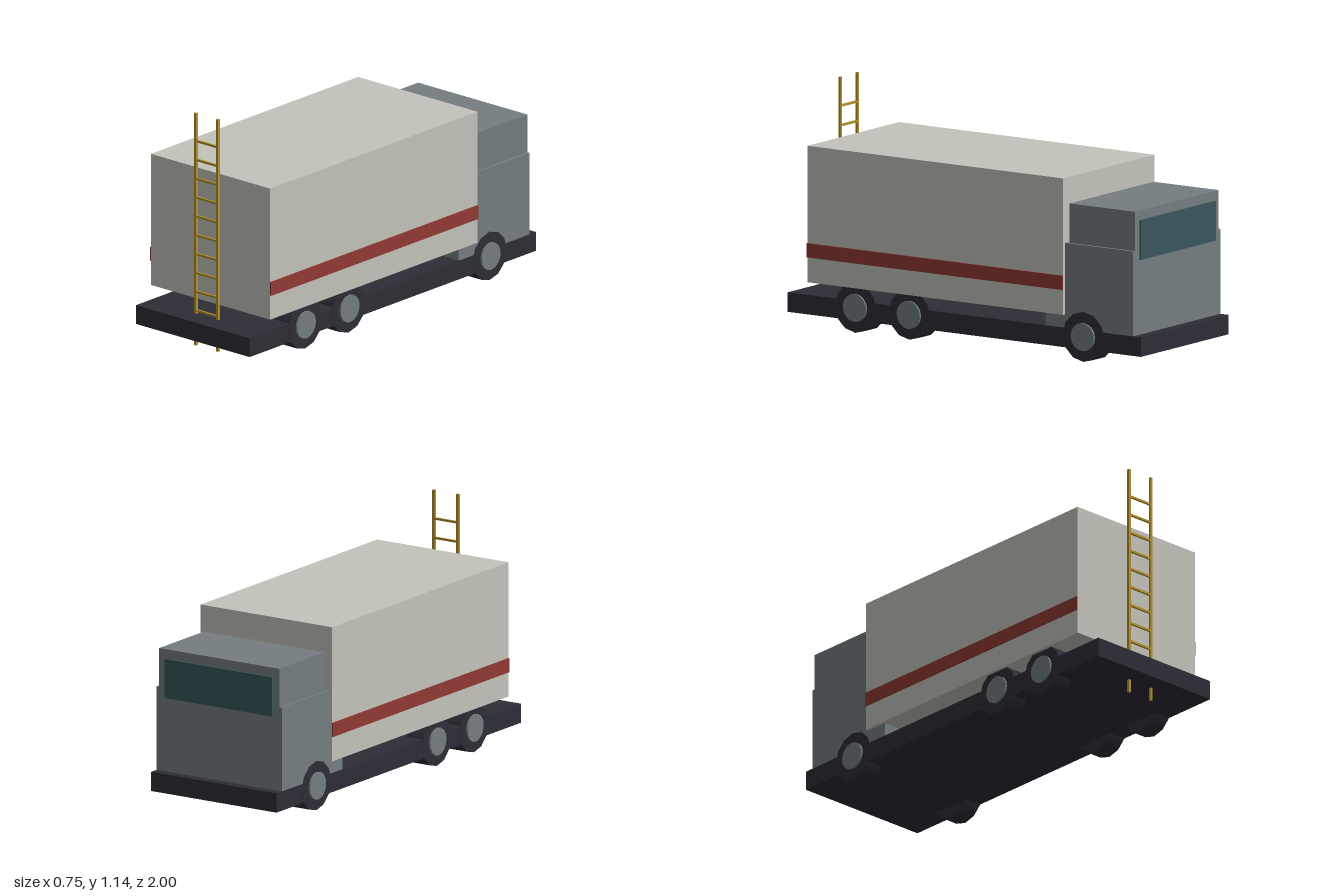
import * as THREE from 'three';

const material = (name, color) => {
  const m = new THREE.MeshStandardMaterial({ color });
  m.name = name;
  return m;
};

export function createModel() {
  const truck = new THREE.Group();
  truck.name = 'truck';

  const dark = material('dark chassis', 0x2d2d36);
  const grey = material('cab grey', 0x757d81);
  const cream = material('cargo cream', 0xc3c3bb);
  const red = material('stripe red', 0x913a33);
  const glass = material('window glass', 0x38565d);
  const brass = material('ladder yellow', 0xb3902c);

  // Box given by its extents on each axis
  const box = (name, mat, [x0, x1], [y0, y1], [z0, z1], parent = truck) => {
    const mesh = new THREE.Mesh(new THREE.BoxGeometry(x1 - x0, y1 - y0, z1 - z0), mat);
    mesh.position.set((x0 + x1) / 2, (y0 + y1) / 2, (z0 + z1) / 2);
    mesh.name = name;
    parent.add(mesh);
    return mesh;
  };

  // Chassis, cab and cargo body
  box('chassis', dark, [-0.352, 0.352], [0.063, 0.155], [-1, 1]);
  box('cabLower', grey, [-0.352, 0.352], [0.155, 0.555], [-0.955, -0.46]);
  box('cabUpper', grey, [-0.338, 0.338], [0.555, 0.74], [-0.955, -0.586]);
  box('windscreen', glass, [-0.302, 0.302], [0.508, 0.695], [-0.964, -0.955]);
  box('cargoBox', cream, [-0.369, 0.369], [0.218, 0.861], [-0.571, 0.876]);

  // Side stripes
  for (const s of [-1, 1]) {
    const x = [s * 0.369, s * 0.375].sort((a, b) => a - b);
    box(s > 0 ? 'leftStripe' : 'rightStripe', red, x, [0.336, 0.403], [-0.571, 0.876]);
  }

  // Wheels: one front axle, two rear axles
  const tyreGeo = new THREE.CylinderGeometry(0.118, 0.118, 0.09, 12).rotateZ(Math.PI / 2);
  const hubGeo = new THREE.CylinderGeometry(0.066, 0.066, 0.03, 16).rotateZ(Math.PI / 2);
  tyreGeo.rotateX(Math.PI / 2);
  for (const z of [-0.675, 0.31, 0.615]) {
    for (const s of [-1, 1]) {
      const wheel = new THREE.Group();
      wheel.name = 'wheel';
      wheel.position.set(s * 0.3085, 0.123, z);
      const tyre = new THREE.Mesh(tyreGeo, dark);
      tyre.material = dark;
      tyre.name = 'tyre';
      const hub = new THREE.Mesh(hubGeo, grey);
      hub.name = 'hub';
      hub.position.x = s * 0.0395;
      wheel.add(tyre, hub);
      truck.add(wheel);
    }
  }

  // Ladder standing on the tail of the chassis
  const ladder = new THREE.Group();
  ladder.name = 'ladder';
  for (const s of [-1, 1]) {
    box('ladderRail', brass, [s * 0.068 - 0.0065, s * 0.068 + 0.0065], [0, 1.138], [0.895, 0.907], ladder);
  }
  for (let i = 0; i < 10; i++) {
    const y = 0.17 + i * 0.0924;
    box('ladderRung', brass, [-0.064, 0.064], [y - 0.005, y + 0.005], [0.896, 0.906], ladder);
  }
  truck.add(ladder);

  return truck;
}
